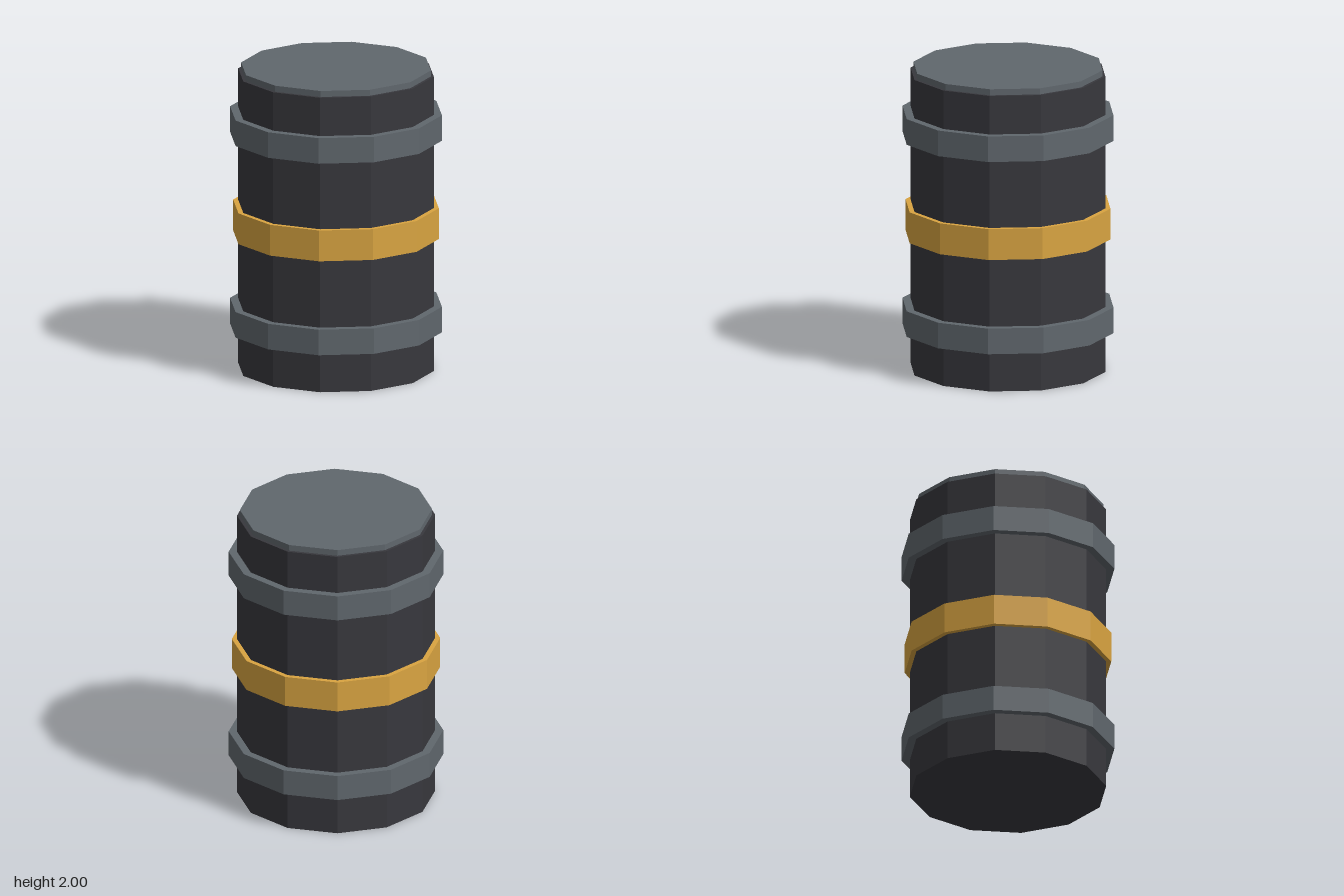
import * as THREE from 'three';

export function createModel() {
  const group = new THREE.Group();
  group.name = 'barrel';

  const material = (name, color) => {
    const m = new THREE.MeshStandardMaterial({ color, flatShading: true });
    m.name = name;
    return m;
  };
  const charcoal = material('charcoal', 0x38383d);
  const steel = material('steel grey', 0x60676d);
  const gold = material('gold', 0xd9a441);

  // Twelve-sided drum section between two heights
  const drum = (name, radius, bottom, top, mat) => {
    const geometry = new THREE.CylinderGeometry(radius, radius, top - bottom, 12);
    const mesh = new THREE.Mesh(geometry, mat);
    mesh.position.y = (bottom + top) / 2;
    mesh.name = name;
    group.add(mesh);
  };

  drum('body', 0.637, 0, 1.96, charcoal);
  drum('lid', 0.618, 1.94, 2, steel);

  // Hoops around the body
  drum('lowerHoop', 0.69, 0.26, 0.43, steel);
  drum('middleBand', 0.67, 0.88, 1.085, gold);
  drum('upperHoop', 0.69, 1.535, 1.705, steel);

  return group;
}
